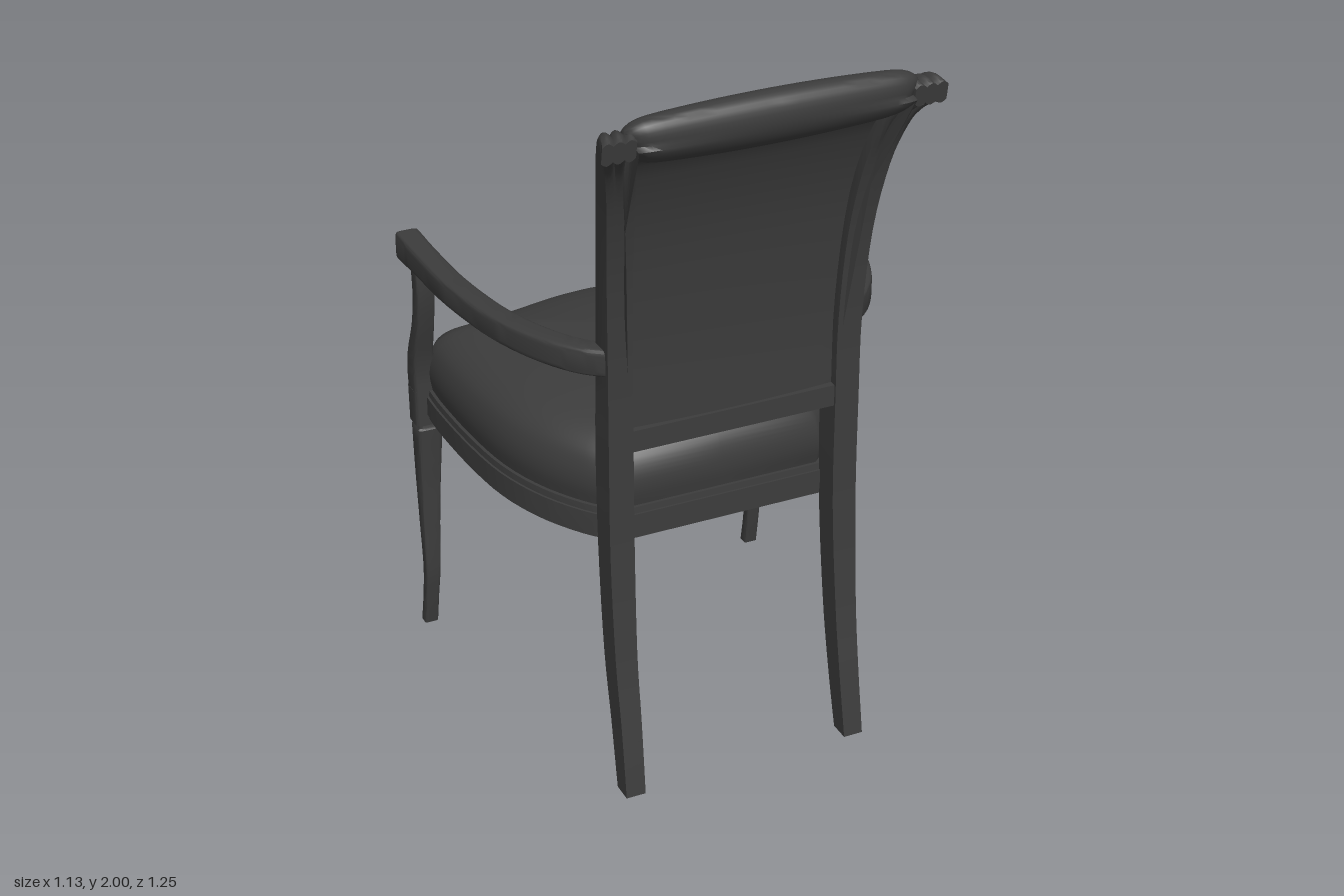
import * as THREE from 'three';
import { toCreasedNormals } from 'three/addons/utils/BufferGeometryUtils.js';

const material = new THREE.MeshStandardMaterial({ color: 0x3c3c3c });

// Smoothly resample rows of numbers (every column is splined)
function smooth(rows, n) {
  const spline = new THREE.CubicInterpolant(rows.map((_, i) => i), rows.flat(), rows[0].length, []);
  return Array.from({ length: n + 1 }, (_, i) => [...spline.evaluate((i / n) * (rows.length - 1))]);
}

// Skin a list of closed rings, cap both ends and make the faces point outwards
function loft(name, rings, crease = 0.7) {
  const m = rings[0].length, pos = rings.flat(2), idx = [];
  for (let i = 0; i < rings.length - 1; i++) {
    for (let j = 0; j < m; j++) {
      const a = i * m + j, b = i * m + ((j + 1) % m);
      idx.push(a, b, b + m, a, b + m, a + m);
    }
  }
  for (const [r, end] of [[0, false], [rings.length - 1, true]]) {
    const c = pos.length / 3;
    for (let k = 0; k < 3; k++) pos.push(rings[r].reduce((s, p) => s + p[k], 0) / m);
    for (let j = 0; j < m; j++) {
      const a = r * m + j, b = r * m + ((j + 1) % m);
      idx.push(...(end ? [a, b, c] : [b, a, c]));
    }
  }
  const v = (i) => new THREE.Vector3().fromArray(pos, i * 3);
  let volume = 0;
  for (let i = 0; i < idx.length; i += 3) volume += v(idx[i]).dot(v(idx[i + 1]).cross(v(idx[i + 2])));
  if (volume < 0) idx.reverse();
  const g = new THREE.BufferGeometry();
  g.setAttribute('position', new THREE.Float32BufferAttribute(pos, 3));
  g.setIndex(idx);
  const mesh = new THREE.Mesh(toCreasedNormals(g, crease), material);
  mesh.name = name;
  return mesh;
}

// Rounded square section, unit half-size
const section = Array.from({ length: 20 }, (_, i) => {
  const a = ((i + 0.5) / 20) * Math.PI * 2, q = (t) => Math.sign(t) * Math.abs(t) ** 0.3;
  return [q(Math.cos(a)), q(Math.sin(a))];
});

// Upright member: rows are [y, x, z, width, depth]
const upright = (name, rows, side) => loft(name,
  rows.map(([y, x, z, w, d]) => section.map(([u, v]) => [side * (x + u * w / 2), y, z + v * d / 2])));

// Rear leg running up into a scrolled, fluted back post:
// rows are [y, x, z, width, thickness, front flute, rear flute]
function backPost(side) {
  const rows = smooth([
    [0, .325, .455, .055, .058, 0, 0],
    [.2, .322, .418, .058, .068, 0, 0],
    [.4, .322, .385, .062, .074, 0, 0],
    [.7, .32, .36, .068, .078, 0, 0],
    [1.0, .32, .354, .068, .084, 0, 0],
    [1.25, .321, .356, .068, .084, .25, 0],
    [1.5, .33, .38, .07, .08, .3, 0],
    [1.7, .345, .425, .074, .08, .3, 0],
    [1.82, .364, .474, .078, .08, .3, .1],
    [1.89, .382, .525, .084, .078, .3, .3],
    [1.922, .397, .568, .088, .076, .3, .3],
    [1.92, .409, .6, .088, .06, .3, .3]], 44);
  const n = 18;
  return loft('backPost', rows.map(([y, x, z, w, t, f, b], i) => {
    const p = rows[Math.max(i - 1, 0)], q = rows[Math.min(i + 1, rows.length - 1)];
    const len = Math.hypot(q[0] - p[0], q[2] - p[2]);
    const ty = i ? (q[0] - p[0]) / len : 1, tz = i ? (q[2] - p[2]) / len : 0;
    const point = (u, v) => [side * (x + u * w / 2), y + v * tz, z - v * ty];
    const ridge = (u, depth) => t / 2 * (1 - depth * (1 - Math.abs(Math.sin(1.5 * Math.PI * (u + 1)))));
    const ring = [];
    for (let k = 0; k <= n; k++) ring.push(point(-1 + 2 * k / n, ridge(-1 + 2 * k / n, f)));
    for (let k = n; k >= 0; k--) ring.push(point(-1 + 2 * k / n, -ridge(-1 + 2 * k / n, b)));
    return ring;
  }));
}

// Upholstered back: side profile [y, z] carried across x, thinner at the edges
function backCushion() {
  const profile = smooth([
    [1.04, .335], [1.08, .302], [1.25, .286], [1.42, .305], [1.58, .338], [1.79, .39],
    [1.92, .465], [1.982, .535], [2.0, .585], [1.98, .618], [1.93, .626], [1.88, .603],
    [1.845, .55], [1.82, .492], [1.6, .418], [1.3, .383], [1.04, .38]], 64);
  const steps = 28, rings = [];
  for (let i = 0; i <= steps; i++) {
    const s = Math.sin((i / steps - .5) * Math.PI);
    const e = Math.min(.2 * s * s + .3 * s ** 20, .5);
    rings.push(profile.map(([y, z], j) => {
      const rise = Math.max(0, (y - 1.2) / .75);
      const half = .287 + .085 * rise ** 2;
      if (j > 50) return [s * half, y, z - .01 * s * s];
      const roll = THREE.MathUtils.smoothstep(y, 1.7, 1.88);
      const cy = THREE.MathUtils.lerp(y, 1.915, roll);
      const cz = .37 + .07 * rise ** 2 + .11 * roll;
      return [s * half, THREE.MathUtils.lerp(y, cy, e), THREE.MathUtils.lerp(z, cz, j > 40 ? e * .3 : e)];
    }));
  }
  return loft('backCushion', rings, .9);
}

// Seat plan: bowed front, sides narrowing to the back
const halfPlan = [
  ...smooth([[0, -.628], [.12, -.618], [.26, -.588], [.38, -.566], [.49, -.55]], 14),
  ...smooth([[.512, -.52], [.516, -.4], [.508, -.2], [.485, -.02], [.435, .13], [.36, .255], [.29, .325]], 22),
];
const plan = [...halfPlan, [0, .325], ...halfPlan.slice(1).reverse().map(([x, z]) => [-x, z])];
const seatLayers = (name, layers, crease) => loft(name,
  layers.map(([y, s]) => plan.map(([x, z]) => [x * s, y, -.15 + (z + .15) * s])), crease);

// Curved arm: rows are [x, y, z, width, height]
function arm(side) {
  const rows = smooth([
    [.335, 1.252, .362, .06, .075], [.385, 1.25, .315, .062, .074], [.432, 1.247, .24, .064, .072],
    [.475, 1.242, .13, .065, .07], [.507, 1.237, 0, .065, .068], [.53, 1.23, -.2, .066, .068],
    [.533, 1.223, -.4, .066, .072], [.532, 1.218, -.5, .067, .08], [.532, 1.217, -.535, .067, .082]], 36);
  rows.push([.532, 1.217, -.546, .06, .072], [.532, 1.217, -.55, .046, .056]);
  return loft('arm', rows.map(([x, y, z, w, h], i) => {
    const p = rows[Math.max(i - 1, 0)], q = rows[Math.min(i + 1, rows.length - 1)];
    const len = Math.hypot(q[0] - p[0], q[2] - p[2]);
    const nx = -(q[2] - p[2]) / len, nz = (q[0] - p[0]) / len;
    return section.map(([u, v]) => [side * (x + nx * u * w / 2), y + v * h / 2, z + nz * u * w / 2]);
  }));
}

export function createModel() {
  const chair = new THREE.Group();
  chair.name = 'armchair';

  // Seat frame with a moulded top edge, and domed cushion
  chair.add(
    seatLayers('seatRail', [[.69, .99], [.705, .99], [.705, 1], [.762, 1], [.762, .988], [.78, .985]]),
    seatLayers('seatCushion', [...smooth([[.775, .965], [.83, .98], [.88, .968], [.925, .925], [.962, .83],
      [.99, .67], [1.012, .45], [1.025, .22], [1.03, .02]], 32)], .9),
  );

  // Back panel and its lower rail
  chair.add(backCushion());
  const rail = new THREE.Mesh(new THREE.BoxGeometry(.59, .06, .065), material);
  rail.name = 'lowerBackRail';
  rail.position.set(0, 1.02, .357);
  chair.add(rail);

  // Posts, arms, arm supports and front legs on both sides
  for (const side of [1, -1]) {
    chair.add(backPost(side), arm(side));
    chair.add(upright('armSupport', smooth([
      [.775, .507, -.522, .076, .068], [.83, .513, -.52, .068, .066], [.9, .52, -.505, .058, .06],
      [1.0, .522, -.47, .052, .048], [1.1, .524, -.448, .052, .044], [1.2, .526, -.445, .055, .044]], 20), side));
    chair.add(upright('legBlock', [[.672, .505, -.523, .08, .068], [.78, .506, -.523, .08, .07]], side));
    chair.add(upright('frontLeg', [
      ...smooth([[0, .516, -.541, .04, .034], [.1, .515, -.523, .04, .032], [.2, .513, -.512, .044, .034],
        [.35, .511, -.518, .052, .042], [.5, .507, -.525, .062, .056], [.655, .504, -.523, .074, .066]], 24),
      [.66, .504, -.523, .068, .058], [.675, .504, -.523, .068, .058]], side));
  }
  return chair;
}
